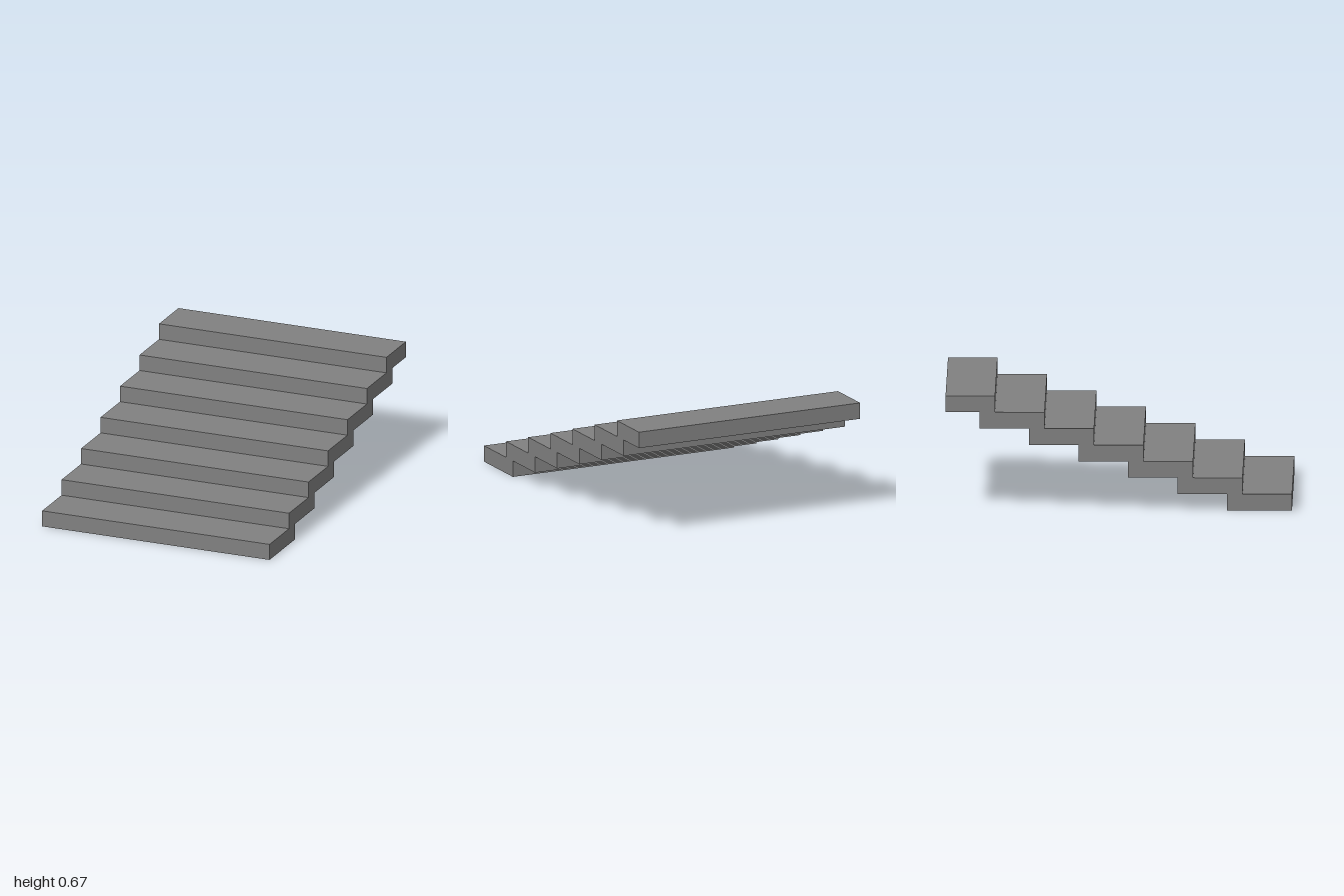
import * as THREE from 'three';

export function createModel() {
  const group = new THREE.Group();
  group.name = 'staircase';
  const concrete = new THREE.MeshStandardMaterial({ color: 0x808080 });
  concrete.name = 'concrete grey';

  const steps = 7, width = 1.428, rise = 0.6667 / steps, run = 2 / steps, slab = 0.375;
  const frontZ = (i) => 1 - i * run;

  // Side profile: treads and risers going up, then the stepped underside coming back
  const profile = [];
  for (let i = 0; i < steps; i++) {
    profile.push(new THREE.Vector2(frontZ(i), i * rise), new THREE.Vector2(frontZ(i), (i + 1) * rise));
  }
  profile.push(new THREE.Vector2(-1, steps * rise), new THREE.Vector2(-1, (steps - 1) * rise));
  for (let i = steps - 2; i >= 0; i--) {
    const back = frontZ(i) - slab;
    profile.push(new THREE.Vector2(back, (i + 1) * rise), new THREE.Vector2(back, i * rise));
  }

  // Extrude across the width and turn so the profile runs along z
  const geometry = new THREE.ExtrudeGeometry(new THREE.Shape(profile), { depth: width, bevelEnabled: false });
  geometry.translate(0, 0, -width / 2);
  geometry.rotateY(-Math.PI / 2);

  const flight = new THREE.Mesh(geometry, concrete);
  flight.name = 'stairFlight';
  group.add(flight);
  return group;
}
